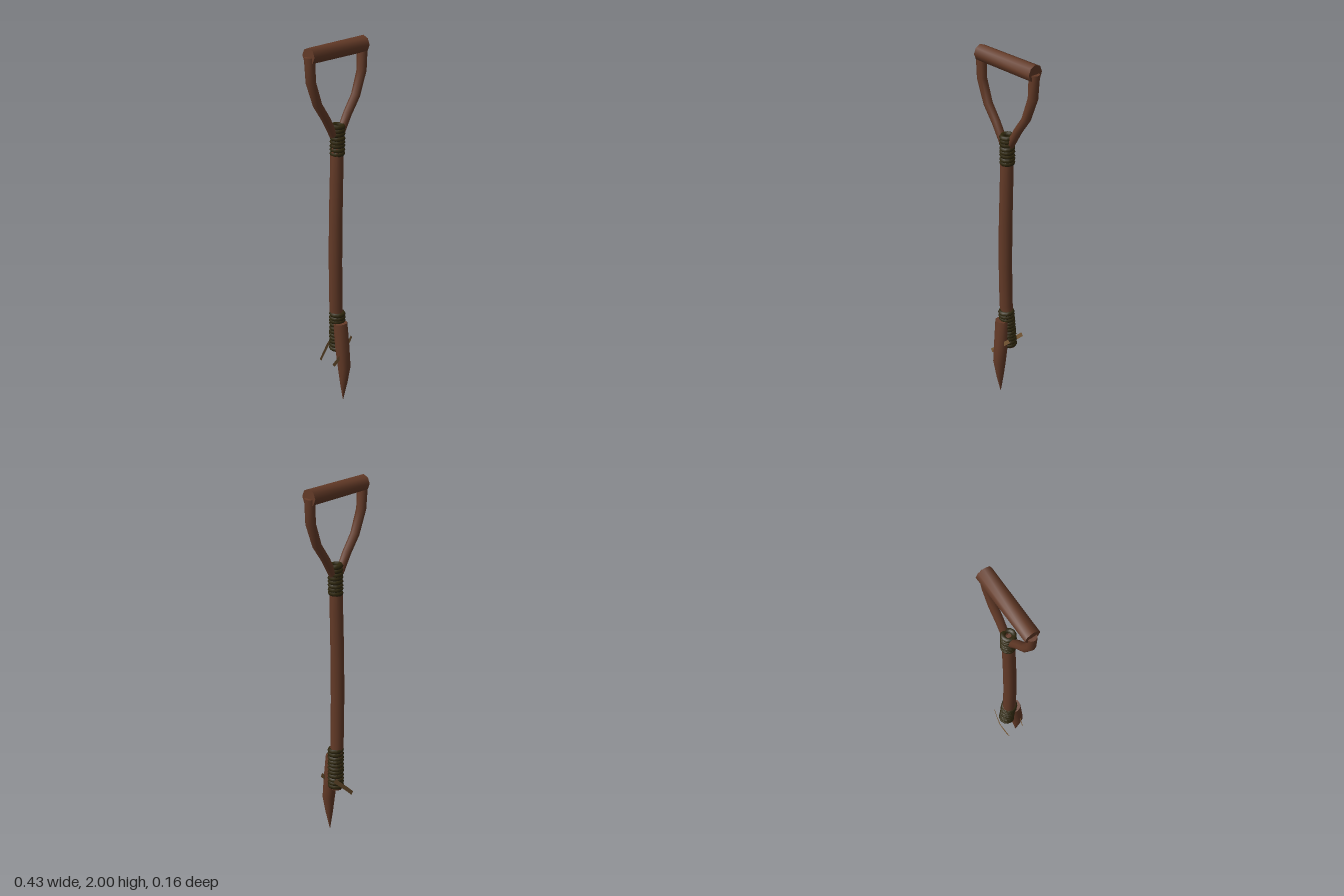
import * as THREE from 'three';
import { toCreasedNormals } from 'three/addons/utils/BufferGeometryUtils.js';

const mat = (name, color, side = THREE.FrontSide) => {
  const m = new THREE.MeshStandardMaterial({ color, side });
  m.name = name;
  return m;
};

// Round limb through [x, y, z, radius] stations, with flat end caps
function limb(stations, sides = 8) {
  const c = stations.map(s => new THREE.Vector3(s[0], s[1], s[2]));
  const pos = [], idx = [], n = stations.length;
  const forward = new THREE.Vector3(0, 0, 1);
  stations.forEach((s, i) => {
    const t = c[Math.min(i + 1, n - 1)].clone().sub(c[Math.max(i - 1, 0)]).normalize();
    const u = forward.clone().cross(t).normalize();
    const v = t.clone().cross(u);
    for (let j = 0; j < sides; j++) {
      const a = j / sides * Math.PI * 2;
      const p = c[i].clone().addScaledVector(u, Math.cos(a) * s[3]).addScaledVector(v, Math.sin(a) * s[3]);
      pos.push(p.x, p.y, p.z);
    }
  });
  const last = (n - 1) * sides, start = n * sides;
  pos.push(...c[0].toArray(), ...c[n - 1].toArray());
  for (let j = 0; j < sides; j++) {
    const k = (j + 1) % sides;
    for (let i = 0; i < n - 1; i++) {
      const a = i * sides + j, b = i * sides + k;
      idx.push(a, b, b + sides, a, b + sides, a + sides);
    }
    idx.push(start, k, j, start + 1, last + j, last + k);
  }
  const g = new THREE.BufferGeometry();
  g.setAttribute('position', new THREE.Float32BufferAttribute(pos, 3));
  g.setIndex(idx);
  return toCreasedNormals(g, 0.9);
}

export function createModel() {
  const root = new THREE.Group();
  const wood = mat('darkWood', 0x633a27);
  const rope = mat('oliveRope', 0x2e260c);
  const fibre = mat('tanFibre', 0x7a5a36, THREE.DoubleSide);

  const add = (name, geo, material, parent = root) => {
    const m = new THREE.Mesh(geo, material);
    m.name = name;
    parent.add(m);
    return m;
  };

  // Slightly bowed shaft
  add('shaft', limb([
    [0.012, 0.28, -0.028, 0.03], [0.008, 0.4, -0.02, 0.034], [-0.006, 0.55, -0.013, 0.036],
    [-0.011, 0.8, -0.012, 0.036], [-0.009, 1.05, -0.012, 0.036], [-0.002, 1.3, -0.012, 0.035],
    [0.003, 1.54, -0.012, 0.033],
  ]), wood);

  // Forked arms
  for (const s of [1, -1]) {
    add(s > 0 ? 'leftArm' : 'rightArm', limb([
      [s * 0.025, 1.515, -0.012, 0.022], [s * 0.078, 1.61, -0.012, 0.023],
      [s * 0.137, 1.695, -0.012, 0.024], [s * 0.182, 1.82, -0.013, 0.026],
      [s * 0.188, 1.95, -0.015, 0.028],
    ]), wood);
  }

  // Cross grip
  const grip = add('grip', new THREE.CylinderGeometry(0.045, 0.043, 0.39, 8), wood);
  grip.geometry = toCreasedNormals(grip.geometry, 0.9);
  grip.rotation.z = -Math.PI / 2;
  grip.position.set(0, 1.955, -0.015);

  // Pointed digging stake
  add('stake', limb([
    [0, 0, 0.035, 0.001], [0, 0.1, 0.04, 0.02], [0, 0.2, 0.044, 0.035],
    [-0.001, 0.32, 0.03, 0.039], [-0.004, 0.46, 0.017, 0.039],
  ], 10), wood);

  // Rope bindings made of stacked, slightly tilted coils
  const binding = (name, from, to, count, r) => {
    const g = new THREE.Group();
    g.name = name;
    root.add(g);
    const a = new THREE.Vector3(...from), b = new THREE.Vector3(...to);
    const geo = new THREE.TorusGeometry(r - 0.011, 0.0135, 6, 12).rotateX(Math.PI / 2);
    for (let i = 0; i < count; i++) {
      const coil = add('coil', geo, rope, g);
      coil.position.lerpVectors(a, b, i / (count - 1));
      coil.rotation.set(0.06 * Math.sin(i * 2.1), i * 0.4, 0.05 * Math.cos(i * 1.7));
    }
  };
  binding('upperBinding', [0.004, 1.413, -0.012], [0.004, 1.557, -0.01], 8, 0.039);
  binding('lowerBinding', [0.01, 0.3, -0.02], [0, 0.507, -0.009], 11, 0.043);

  // Diagonal loose fibre strips behind and in front of the shaft
  const strip = (name, zMid, slope) => {
    const geo = new THREE.PlaneGeometry(0.19, 0.022, 4, 1).rotateZ(0.75);
    const p = geo.attributes.position;
    for (let i = 0; i < p.count; i++) p.setZ(i, zMid + slope * Math.abs(p.getX(i)));
    geo.computeVertexNormals();
    add(name, geo, fibre).position.set(-0.003, 0.297, 0);
  };
  strip('backFibre', -0.08, 0.2);
  strip('frontFibre', 0.048, -0.2);

  return root;
}
